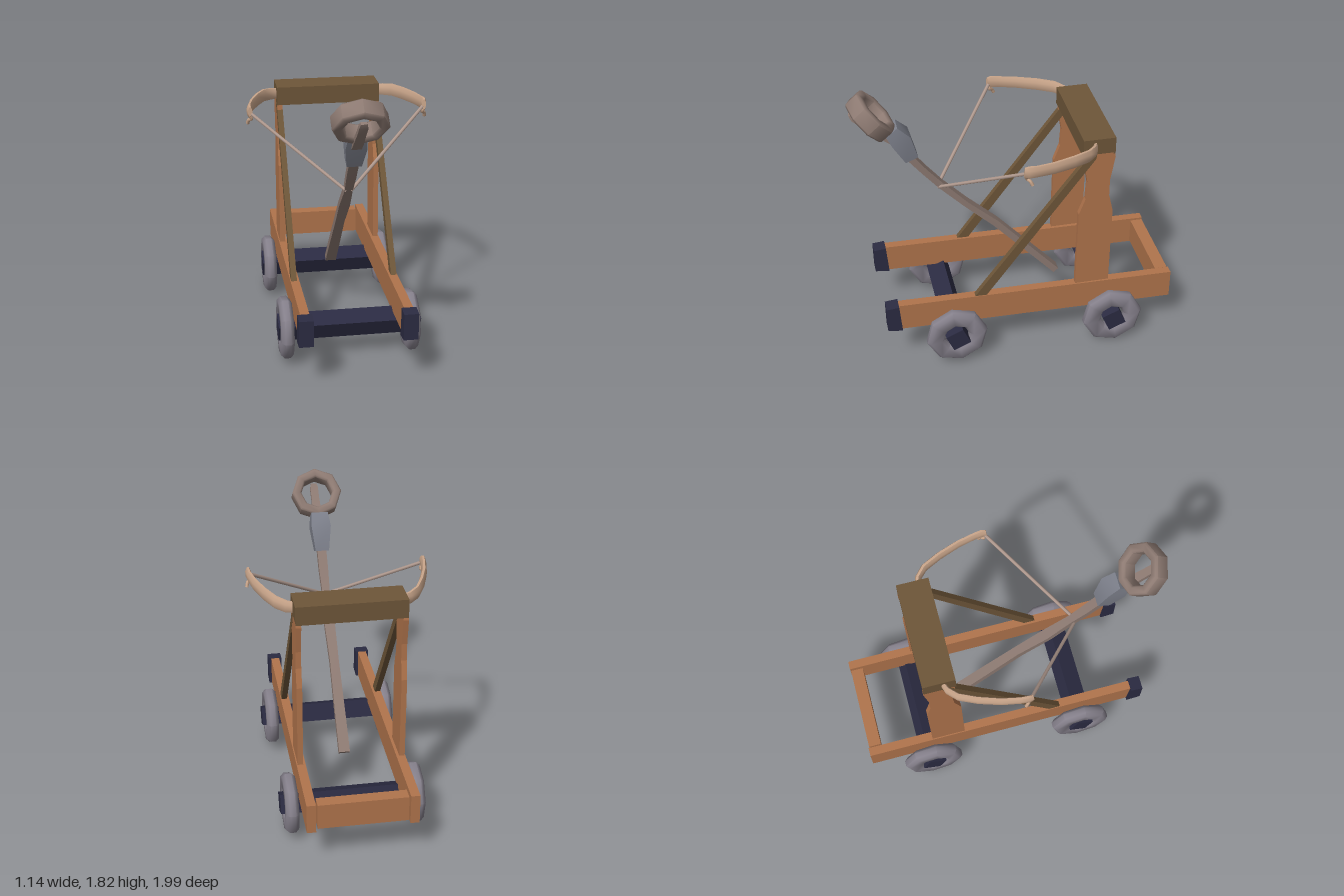
import * as THREE from 'three';
import { toCreasedNormals } from 'three/addons/utils/BufferGeometryUtils.js';

const mat = (name, color) => {
  const m = new THREE.MeshStandardMaterial({ color });
  m.name = name;
  return m;
};

// Slab with an outline of [z, y] points, thickness along x
function slab(points, thickness) {
  const shape = new THREE.Shape(points.map(([z, y]) => new THREE.Vector2(z, y)));
  const g = new THREE.ExtrudeGeometry(shape, { depth: thickness, bevelEnabled: false });
  return g.translate(0, 0, -thickness / 2).rotateY(-Math.PI / 2);
}

// Bar through stations [x, y, z, halfWidth along side, halfDepth]
function loft(stations, side, sides = 4) {
  const pts = stations.map(s => new THREE.Vector3(s[0], s[1], s[2]));
  const pos = [], idx = [], last = stations.length - 1;
  const k = sides === 4 ? Math.SQRT2 : 1;
  stations.forEach((s, i) => {
    const t = pts[Math.min(i + 1, last)].clone().sub(pts[Math.max(i - 1, 0)]).normalize();
    const u = t.clone().cross(side).normalize();
    const v = u.clone().cross(t);
    for (let j = 0; j < sides; j++) {
      const a = (j + 0.5) / sides * Math.PI * 2;
      const p = pts[i].clone()
        .addScaledVector(v, Math.cos(a) * s[3] * k)
        .addScaledVector(u, Math.sin(a) * s[4] * k);
      pos.push(p.x, p.y, p.z);
    }
  });
  for (let i = 0; i < last; i++) {
    for (let j = 0; j < sides; j++) {
      const a = i * sides + j, b = i * sides + (j + 1) % sides;
      idx.push(a, b, b + sides, a, b + sides, a + sides);
    }
  }
  for (let j = 1; j < sides - 1; j++) {
    idx.push(0, j + 1, j, last * sides, last * sides + j, last * sides + j + 1);
  }
  const g = new THREE.BufferGeometry();
  g.setAttribute('position', new THREE.Float32BufferAttribute(pos, 3));
  g.setIndex(idx);
  return toCreasedNormals(g, 0.9);
}

// Eight-sided ring around y with bevelled edges
function octagonRing(inner, outer, half, bevel) {
  const p = [
    [inner, -half + bevel], [inner + bevel, -half], [outer - bevel, -half], [outer, -half + bevel],
    [outer, half - bevel], [outer - bevel, half], [inner + bevel, half], [inner, half - bevel],
    [inner, -half + bevel],
  ].map(([x, y]) => new THREE.Vector2(x, y));
  return toCreasedNormals(new THREE.LatheGeometry(p, 8), 0.9);
}

export function createModel() {
  const group = new THREE.Group();
  const wood = mat('orange wood', 0xb0744c);
  const darkWood = mat('dark wood', 0x6e5639);
  const armWood = mat('grey wood', 0x8d7a72);
  const iron = mat('navy iron', 0x2b2b42);
  const stone = mat('wheel grey', 0x85808b);
  const steel = mat('socket grey', 0x7c7f8a);
  const horn = mat('tan bow', 0xc9a58a);
  const rope = mat('rope', 0xb39c91);
  const X = new THREE.Vector3(1, 0, 0), Y = new THREE.Vector3(0, 1, 0);

  const add = (name, geometry, material, x = 0, y = 0, z = 0) => {
    const m = new THREE.Mesh(geometry, material);
    m.name = name;
    m.position.set(x, y, z);
    group.add(m);
    return m;
  };

  // Base frame, uprights and bow on both sides
  const rail = slab([[0.79, 0.475], [0.78, 0.29], [-1, 0.255], [-1, 0.447]], 0.056);
  const cap = slab([[0.87, 0.47], [0.868, 0.3], [0.775, 0.288], [0.79, 0.478]], 0.09);
  const post = slab([
    [-0.355, 0.46], [-0.575, 0.46], [-0.58, 1.0], [-0.552, 1.12], [-0.552, 1.23], [-0.58, 1.4],
    [-0.575, 1.43], [-0.39, 1.43], [-0.385, 1.37], [-0.41, 1.23], [-0.402, 1.11], [-0.362, 1.0],
  ], 0.034);
  const brace = slab([[0.305, 0.46], [0.23, 0.46], [-0.46, 1.4], [-0.46, 1.44], [-0.43, 1.44]], 0.036);
  for (const s of [1, -1]) {
    const label = s > 0 ? 'left' : 'right';
    add(label + 'Rail', rail, wood, s * 0.313);
    add(label + 'RailCap', cap, iron, s * 0.314);
    add(label + 'Post', post, wood, s * 0.318);
    add(label + 'Brace', brace, darkWood, s * 0.318);

    add(label + 'BowLimb', loft([
      [s * 0.32, 1.475, -0.455, 0.036, 0.016], [s * 0.37, 1.478, -0.437, 0.04, 0.018],
      [s * 0.425, 1.485, -0.385, 0.042, 0.019], [s * 0.475, 1.49, -0.28, 0.042, 0.019],
      [s * 0.52, 1.495, -0.15, 0.04, 0.018], [s * 0.543, 1.5, -0.04, 0.039, 0.017],
      [s * 0.548, 1.503, 0.01, 0.042, 0.018], [s * 0.545, 1.505, 0.035, 0.032, 0.014],
    ], Y, 8), horn);
    const hook = new THREE.CatmullRomCurve3([
      [0.55, 1.48, 0.025], [0.537, 1.455, 0.018], [0.553, 1.445, 0.002], [0.56, 1.418, -0.012],
    ].map(([x, y, z]) => new THREE.Vector3(s * x, y, z)));
    add(label + 'BowHook', new THREE.TubeGeometry(hook, 8, 0.011, 6), horn);
    const string = new THREE.LineCurve3(
      new THREE.Vector3(s * 0.545, 1.495, 0.02), new THREE.Vector3(s * 0.012, 1.115, 0.46));
    add(label + 'BowString', new THREE.TubeGeometry(string, 1, 0.011, 6), rope);
  }
  add('backBoard', new THREE.BoxGeometry(0.55, 0.165, 0.08), wood, 0, 0.358, -0.955);
  add('topBeam', new THREE.BoxGeometry(0.67, 0.118, 0.2), darkWood, 0, 1.474, -0.478);

  // Axles and wheels
  const axle = new THREE.BoxGeometry(0.895, 0.12, 0.12).rotateX(0.42);
  const wheel = octagonRing(0.082, 0.197, 0.04, 0.022).rotateZ(Math.PI / 2).rotateX(0.14);
  for (const [label, y, z] of [['front', 0.225, 0.435], ['back', 0.205, -0.595]]) {
    add(label + 'Axle', axle, iron, 0.007, y, z);
    for (const s of [1, -1]) {
      add(label + (s > 0 ? 'Left' : 'Right') + 'Wheel', wheel, stone, s * 0.393, y - 0.003, z);
    }
  }

  // Throwing arm with socket, cup ring and tongue
  add('throwingArm', loft([
    [0, 0.345, -0.305, 0.035, 0.021], [0, 0.56, -0.11, 0.033, 0.021], [0, 0.79, 0.1, 0.029, 0.022],
    [0, 0.97, 0.29, 0.034, 0.018], [0, 1.13, 0.445, 0.025, 0.021], [0, 1.25, 0.545, 0.03, 0.02],
    [0, 1.38, 0.645, 0.03, 0.022],
  ], X), armWood);
  add('socket', loft([
    [0, 1.355, 0.62, 0.045, 0.042], [0, 1.5, 0.68, 0.064, 0.062], [0, 1.57, 0.735, 0.055, 0.045],
  ], X), steel);
  const ring = add('cupRing', octagonRing(0.105, 0.165, 0.055, 0.012), armWood, 0, 1.67, 0.848);
  ring.rotation.x = -0.86;
  add('cupTongue', loft([
    [0, 1.46, 0.7, 0.03, 0.014], [0, 1.53, 0.79, 0.03, 0.014], [0, 1.62, 0.895, 0.026, 0.014],
    [0, 1.675, 0.955, 0.026, 0.014], [0, 1.7, 0.97, 0.018, 0.01],
  ], X), armWood);

  return group;
}
